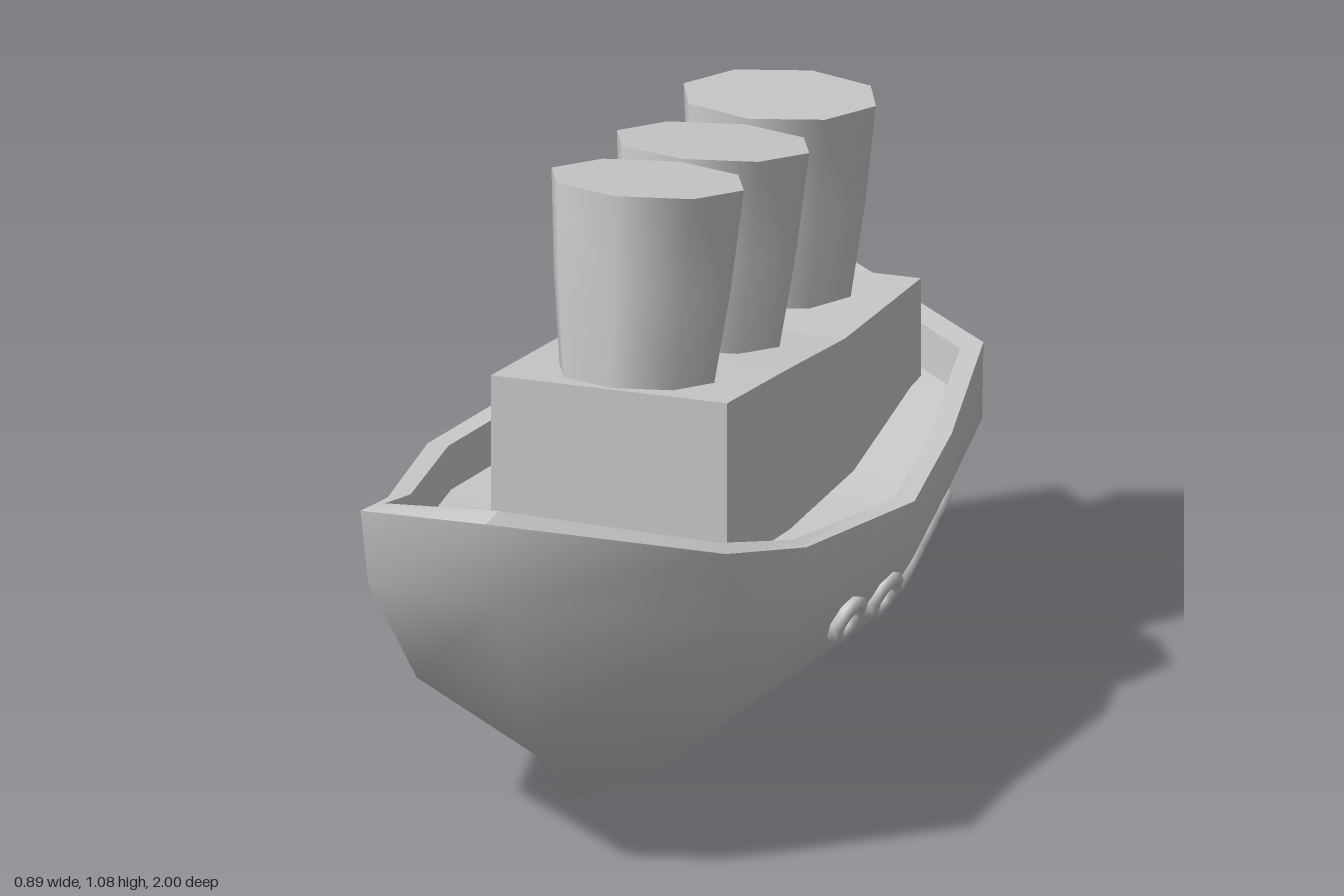
import * as THREE from 'three';
import { toCreasedNormals } from 'three/addons/utils/BufferGeometryUtils.js';

const material = new THREE.MeshStandardMaterial({ color: 0xcccccc });

// Relative half width at the seven stations, bow to stern
const OUTLINE = [0, 0.75, 0.86, 1, 0.87, 0.75, 0];
const STATIONS = [1, 0.69, 0.4, 0, -0.37, -0.7, -1];
const SHEER = [0.73, 0.605, 0.52, 0.47, 0.455, 0.5, 0.5];

// Closed horizontal ring: down the left side, back up the right side
function ring(halfWidth, front, back, heights) {
  const side = STATIONS.map((s, i) => [
    OUTLINE[i] * halfWidth,
    Array.isArray(heights) ? heights[i] : heights,
    s > 0 ? s * front : s * back,
  ]);
  const mirrored = side.slice(1, -1).reverse().map(([x, y, z]) => [-x, y, z]);
  return [...side, ...mirrored];
}

// Skin a series of rings
function loft(rings, crease) {
  const n = rings[0].length;
  const index = [];
  for (let r = 0; r < rings.length - 1; r++) {
    for (let i = 0; i < n; i++) {
      const j = (i + 1) % n;
      const a = r * n + i, b = r * n + j, c = b + n, d = a + n;
      index.push(a, b, c, a, c, d);
    }
  }
  const g = new THREE.BufferGeometry();
  g.setAttribute('position', new THREE.Float32BufferAttribute(rings.flat(2), 3));
  g.setIndex(index);
  return toCreasedNormals(g, crease);
}

function add(parent, name, geometry) {
  const mesh = new THREE.Mesh(geometry, material);
  mesh.name = name;
  parent.add(mesh);
  return mesh;
}

export function createModel() {
  const ship = new THREE.Group();
  ship.name = 'steamship';

  // Hull: keel point up to the sheer line
  const rim = ring(0.443, 1, 1, SHEER);
  add(ship, 'hull', loft([
    ring(0, 0, 0, 0),
    ring(0.145, 0.55, 0.6, 0.065),
    ring(0.375, 0.78, 0.92, 0.25),
    ring(0.44, 0.95, 1, [0.56, 0.46, 0.4, 0.365, 0.36, 0.36, 0.37]),
    rim,
  ], 1.9));

  // Gunwale, bulwark and sunken deck
  const deckY = SHEER.map((y, i) => y - (i === 0 ? 0.1 : 0.08));
  const inner = ring(0.405, 0.93, 0.94, SHEER);
  const deckEdge = ring(0.4, 0.93, 0.94, deckY);
  deckEdge[0][2] = 0.88;
  const deckCentre = deckEdge.map(([, y, z]) => [0, y, z]);
  add(ship, 'gunwaleAndDeck', loft([rim, inner, deckEdge, deckCentre], 0.5));

  // Cabin: side profile with a sloping roof, extruded across the ship
  const profile = new THREE.Shape([
    [0.335, 0.36], [0.335, 0.742], [0, 0.687], [-0.3, 0.635], [-0.71, 0.6], [-0.71, 0.36],
  ].map(([z, y]) => new THREE.Vector2(-z, y)));
  const cabin = new THREE.ExtrudeGeometry(profile, { depth: 0.43, bevelEnabled: false });
  cabin.translate(0, 0, -0.215).rotateY(Math.PI / 2);
  add(ship, 'cabin', cabin);

  // Three raked funnels, flaring towards the top: [z, y, rake]
  const funnelProfile = [[0, -0.06], [0.133, -0.06], [0.14, 0], [0.161, 0.17], [0.175, 0.348], [0, 0.348]]
    .map(([r, y]) => new THREE.Vector2(r, y));
  const funnelGeometry = toCreasedNormals(new THREE.LatheGeometry(funnelProfile, 8), 0.9);
  [[0.185, 0.712, 0.17], [-0.168, 0.655, 0.17], [-0.552, 0.61, 0.1]].forEach(([z, y, rake], i) => {
    const funnel = add(ship, `funnel${i + 1}`, funnelGeometry);
    funnel.position.set(0, y, z);
    funnel.rotation.x = -rake;
  });

  // Porthole rings lying against both sides of the hull
  const portholeGeometry = new THREE.TorusGeometry(0.036, 0.014, 6, 8);
  for (const side of [1, -1]) {
    [0.195, 0.06, -0.08, -0.22, -0.355].forEach((z, i) => {
      const porthole = add(ship, `${side > 0 ? 'left' : 'right'}Porthole${i + 1}`, portholeGeometry);
      porthole.position.set(side * (0.415 - 0.15 * Math.abs(z)), 0.315, z);
      const normal = new THREE.Vector3(side, -0.5, 0.16 * Math.sign(z)).normalize();
      porthole.lookAt(porthole.position.clone().add(normal));
    });
  }

  return ship;
}
